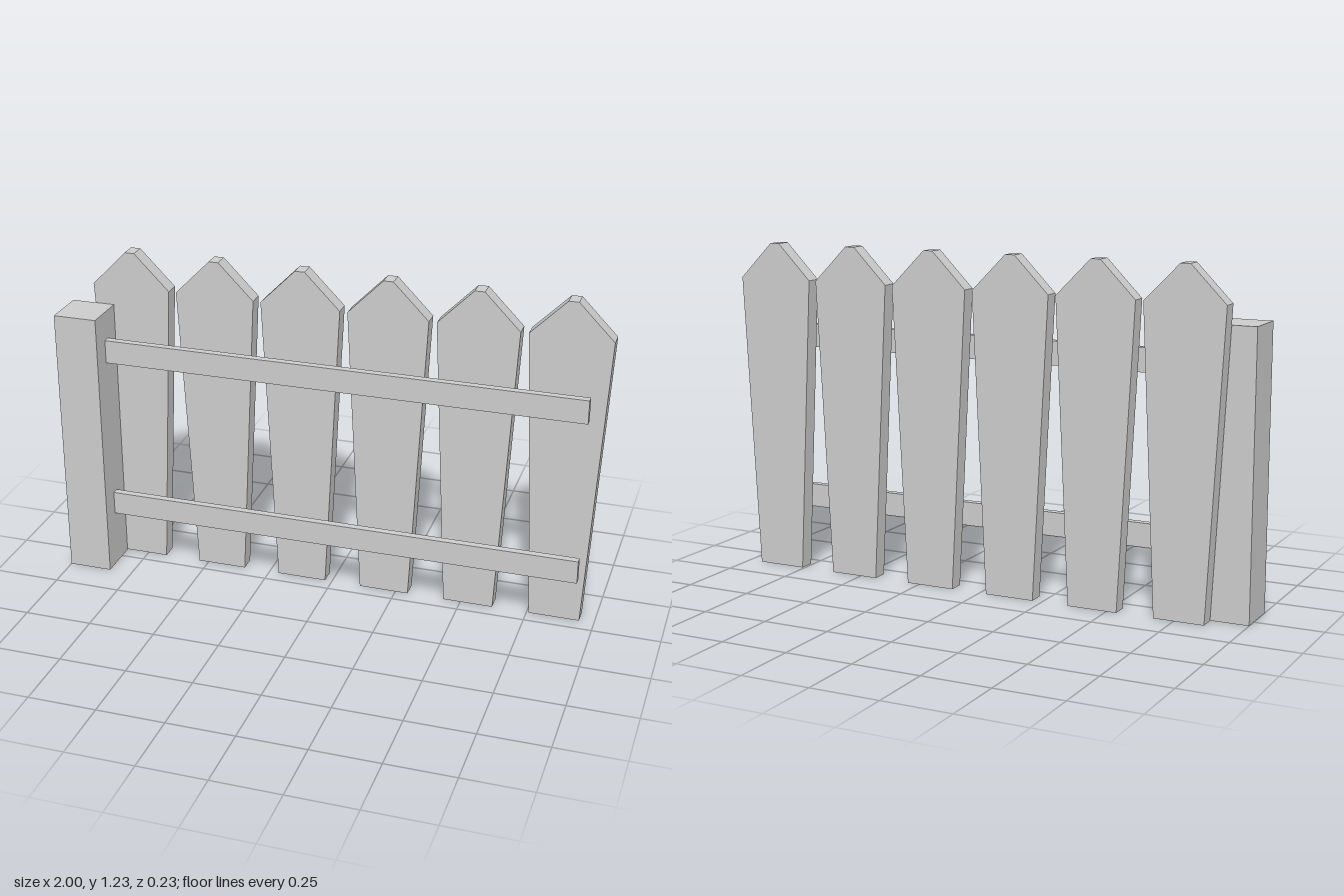
import * as THREE from 'three';

const material = new THREE.MeshStandardMaterial({ color: 0xcccccc, flatShading: true });

// Box given by its minimum and maximum corners
function box(name, [x0, y0, z0], [x1, y1, z1]) {
  const mesh = new THREE.Mesh(new THREE.BoxGeometry(x1 - x0, y1 - y0, z1 - z0), material);
  mesh.position.set((x0 + x1) / 2, (y0 + y1) / 2, (z0 + z1) / 2);
  mesh.name = name;
  return mesh;
}

// Tapered board with a blunt pointed top
function picketGeometry() {
  const half = [[0.093, 0], [0.148, 1.1], [0.018, 1.232]];
  const outline = [...half, ...half.map(([x, y]) => [-x, y]).reverse()];
  const shape = new THREE.Shape(outline.map(([x, y]) => new THREE.Vector2(x, y)));
  return new THREE.ExtrudeGeometry(shape, { depth: 0.06, bevelEnabled: false });
}

export function createModel() {
  const fence = new THREE.Group();
  fence.name = 'fence';

  // Evenly spaced pickets along the back
  const geometry = picketGeometry();
  for (let i = 0; i < 6; i++) {
    const picket = new THREE.Mesh(geometry, material);
    picket.name = `picket${i + 1}`;
    picket.position.set(-0.768 + i * 0.324, 0, -0.115);
    fence.add(picket);
  }

  // Square post at the right end
  fence.add(box('post', [-1, 0, -0.05], [-0.838, 1.027, 0.117]));

  // Two rails running out from the post
  fence.add(box('lowerRail', [-0.838, 0.21, 0.016], [0.942, 0.298, 0.044]));
  fence.add(box('upperRail', [-0.838, 0.833, 0.016], [0.942, 0.921, 0.044]));

  return fence;
}
